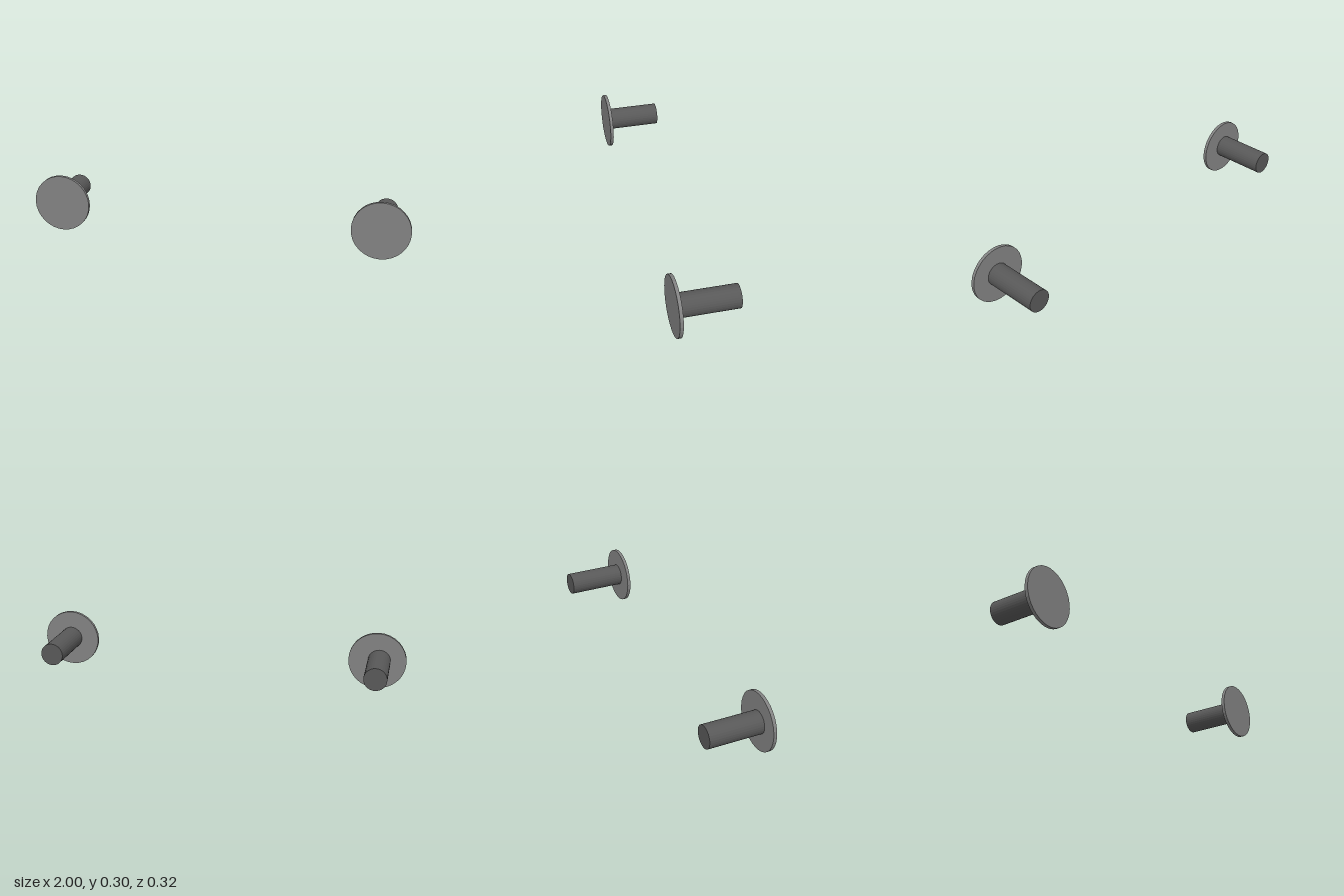
import * as THREE from 'three';

const plateMaterial = new THREE.MeshStandardMaterial({ color: 0x828282, flatShading: true });
const shaftMaterial = new THREE.MeshStandardMaterial({ color: 0x585858, flatShading: true });

// Cylinder lying along z, from zBack to zFront
function rod(name, material, radius, x, y, zBack, zFront) {
  const geometry = new THREE.CylinderGeometry(radius, radius, zFront - zBack, 32);
  geometry.rotateX(Math.PI / 2);
  const mesh = new THREE.Mesh(geometry, material);
  mesh.name = name;
  mesh.position.set(x, y, (zBack + zFront) / 2);
  return mesh;
}

// Round plate on the front of a thinner, darker shaft
function buffer(name, plateX, shaftX, plateBack) {
  const group = new THREE.Group();
  group.name = name;
  group.add(
    rod('plate', plateMaterial, 0.151, plateX, 0.151, plateBack, plateBack + 0.0175),
    rod('shaft', shaftMaterial, 0.0595, shaftX, 0.153, -0.16, plateBack),
  );
  return group;
}

export function createModel() {
  const model = new THREE.Group();
  model.name = 'bufferPair';
  // The right plate sits slightly further back than the left one
  model.add(
    buffer('leftBuffer', 0.848, 0.851, 0.143),
    buffer('rightBuffer', -0.849, -0.859, 0.126),
  );
  return model;
}
